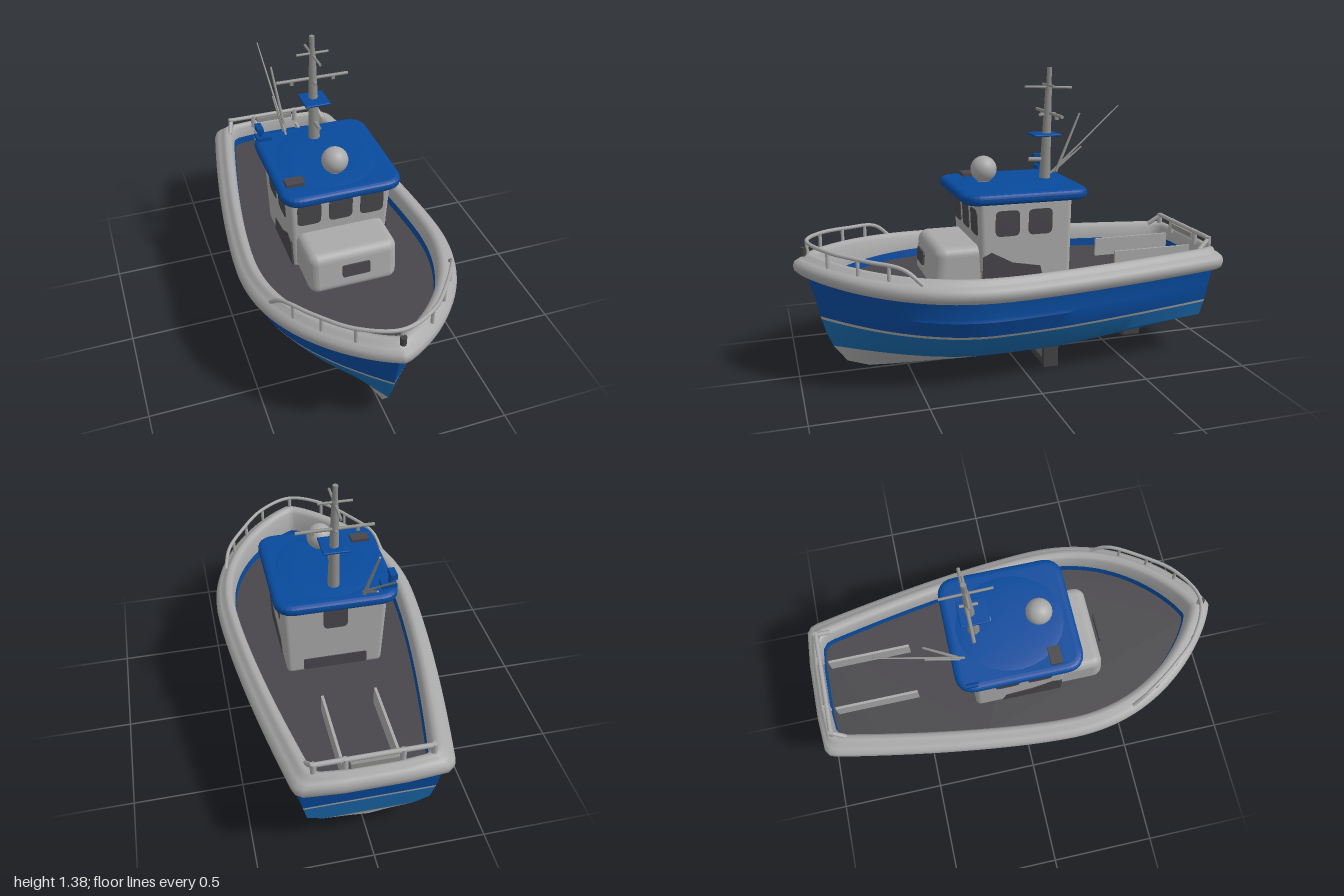
import * as THREE from 'three';
import { toCreasedNormals } from 'three/addons/utils/BufferGeometryUtils.js';
import { RoundedBoxGeometry } from 'three/addons/geometries/RoundedBoxGeometry.js';

const mat = (name, color) => new THREE.MeshStandardMaterial({ name, color, side: THREE.DoubleSide });
const M = {
  grey: mat('light grey paint', 0xa9a9a9),
  navy: mat('deep blue paint', 0x084a9c),
  blue: mat('lower blue paint', 0x1a68aa),
  dark: mat('dark deck and glass', 0x48464a),
  metal: mat('metal grey', 0x8e8e8c),
  frame: mat('underwater dark grey', 0x424244),
};

const V = (x, y, z) => new THREE.Vector3(x, y, z);

function add(parent, name, geo, m, x = 0, y = 0, z = 0) {
  const mesh = new THREE.Mesh(geo, m);
  mesh.name = name;
  mesh.position.set(x, y, z);
  parent.add(mesh);
  return mesh;
}
const box = (g, name, m, w, h, d, x, y, z) => add(g, name, new THREE.BoxGeometry(w, h, d), m, x, y, z);

// Straight round bar between two points
function bar(g, name, m, a, b, r0, r1 = r0) {
  const dir = b.clone().sub(a);
  const mesh = add(g, name, new THREE.CylinderGeometry(r1, r0, dir.length(), 10), m);
  mesh.position.copy(a).addScaledVector(dir, 0.5);
  mesh.quaternion.setFromUnitVectors(V(0, 1, 0), dir.normalize());
  return mesh;
}

// Skin over equal-length rows of points, closed around the loop
function loft(rows, crease = 0.6) {
  const pos = [], idx = [], n = rows[0].length;
  rows.forEach(r => r.forEach(p => pos.push(p.x, p.y, p.z)));
  for (let j = 0; j < rows.length - 1; j++) {
    for (let i = 0; i < n; i++) {
      const k = (i + 1) % n, a = j * n + i, b = j * n + k, c = b + n, d = a + n;
      idx.push(a, b, c, a, c, d);
    }
  }
  const geo = new THREE.BufferGeometry();
  geo.setAttribute('position', new THREE.Float32BufferAttribute(pos, 3));
  geo.setIndex(idx);
  return toCreasedNormals(geo, crease);
}
const mirrorLoop = half => half.concat(half.slice().reverse().map(p => V(-p.x, p.y, p.z)));

// Hull row: [y mid, x mid, y stern, x stern, z stern, y bow, z bow, fullness power, exponent]
const HULL = [
  [0.00, 0.012, 0.135, 0.01, -0.88, 0.015, 0.68, 3, 1],
  [0.04, 0.110, 0.145, 0.09, -0.88, 0.050, 0.78, 1.8, 1.1],
  [0.10, 0.250, 0.160, 0.20, -0.885, 0.130, 0.84, 1.7, 1.1],
  [0.17, 0.360, 0.190, 0.27, -0.89, 0.200, 0.87, 1.8, 1.05],
  [0.245, 0.408, 0.260, 0.287, -0.90, 0.265, 0.887, 1.9, 1],
  [0.257, 0.415, 0.272, 0.29, -0.902, 0.280, 0.892, 1.9, 1],
  [0.33, 0.445, 0.335, 0.30, -0.91, 0.360, 0.91, 2, 0.95],
  [0.345, 0.440, 0.35, 0.30, -0.912, 0.375, 0.914, 2, 0.95],
  [0.45, 0.458, 0.45, 0.31, -0.93, 0.530, 0.955, 2.2, 0.8],
];
function hullRow([ym, xm, ys, xs, zs, yb, zb, p, e]) {
  const half = [], N = 40;
  for (let i = 0; i <= N; i++) {
    const t = Math.cos(i / N * Math.PI / 2) * 0.4 + (1 - i / N) * 0.6;
    const z = zs + (zb - zs) * t;
    const u = Math.max(0, (z - 0.2) / (zb - 0.2)), a = Math.max(0, (0.2 - z) / (0.2 - zs));
    const x = z > 0.2 ? xm * Math.pow(Math.max(0, 1 - u ** p), e) : xm + (xs - xm) * a ** 1.5;
    const y = ym + (ys - ym) * Math.max(0, 1 - t / 0.42) ** 1.1 + (yb - ym) * Math.max(0, t * 2 - 1) ** 2;
    half.push(V(x, y, z));
  }
  return mirrorLoop(half);
}

// Plan outline of the gunwale, moved inward by inset
const sheer = z => 0.465 + 0.065 * Math.max(0, z) ** 2;
function outline(inset, dy, flatY) {
  const half = [], A = 0.5 - inset, L = 0.8 - 1.2 * inset, ws = 0.345 - inset, zs = -0.985 + 0.7 * inset;
  const put = (x, z) => half.push(V(x, flatY ?? sheer(z) + dy, z));
  for (let i = 0; i <= 28; i++) {
    const u = Math.cos(i / 28 * Math.PI / 2);
    put(A * Math.pow(Math.max(0, 1 - u ** 2.2), 0.8), 0.2 + L * u);
  }
  for (let i = 1; i <= 16; i++) {
    const a = i / 16;
    put(A + (ws - A) * a ** 1.5, 0.2 + (zs + 0.05 - 0.2) * a);
  }
  put(ws - 0.012, zs + 0.02);
  put(ws - 0.04, zs);
  put(ws * 0.4, zs - 0.012);
  return mirrorLoop(half);
}

function roundedRect(w, h, r) {
  const s = new THREE.Shape(), x = w / 2, y = h / 2;
  s.moveTo(-x + r, -y).lineTo(x - r, -y).quadraticCurveTo(x, -y, x, -y + r);
  s.lineTo(x, y - r).quadraticCurveTo(x, y, x - r, y).lineTo(-x + r, y);
  s.quadraticCurveTo(-x, y, -x, y - r).lineTo(-x, -y + r).quadraticCurveTo(-x, -y, -x + r, -y);
  return s;
}
const plate = s => new THREE.ExtrudeGeometry(s, { depth: 0.008, bevelEnabled: false, curveSegments: 5 });

export function createModel() {
  const g = new THREE.Group();
  g.name = 'workboat';

  // Hull in painted bands, transom included
  const rows = HULL.map(hullRow);
  const band = (name, a, b, m) => add(g, name, loft(rows.slice(a, b + 1)), m);
  band('hullBottom', 0, 2, M.grey);
  band('hullLowerSide', 2, 4, M.blue);
  band('waterlineStripe', 4, 5, M.grey);
  band('hullUpperSide', 5, 8, M.navy);

  // Gunwale with rounded fender, cap and inner bulwark
  const rim = [[0.07, -0.03], [0.02, -0.038], [0.004, -0.022], [0, 0], [0.006, 0.02], [0.024, 0.034],
    [0.038, 0.04], [0.045, 0.054], [0.06, 0.06], [0.078, 0.056], [0.088, 0.04]];
  add(g, 'gunwale', loft([...rim.map(([i, dy]) => outline(i, dy)), outline(0.094, 0, 0.45)], 0.9), M.grey);
  add(g, 'bulwarkLining', loft([outline(0.094, 0, 0.45), outline(0.098, 0, 0.41)]), M.navy);
  const deck = new THREE.Shape(outline(0.097, 0, 0).map(p => new THREE.Vector2(p.x, -p.z)));
  add(g, 'deck', new THREE.ShapeGeometry(deck).rotateX(-Math.PI / 2), M.dark, 0, 0.412, 0);

  // Wheelhouse, narrowing toward the deck
  const house = new THREE.Group();
  house.name = 'wheelhouse';
  g.add(house);
  const walls = new RoundedBoxGeometry(0.49, 0.42, 0.44, 3, 0.025);
  const wp = walls.attributes.position;
  for (let i = 0; i < wp.count; i++) {
    const k = (0.21 - wp.getY(i)) / 0.42;
    wp.setX(i, wp.getX(i) * (1 - 0.08 * k));
    if (wp.getZ(i) > 0) wp.setZ(i, wp.getZ(i) - 0.015 * k);
  }
  add(house, 'walls', walls, M.grey, 0, 0.61, -0.01);
  const pane = () => plate(roundedRect(0.112, 0.118, 0.025));
  for (const x of [-0.15, 0, 0.15]) {
    add(house, 'frontWindow', pane(), M.dark, x, 0.71, 0.201).rotation.x = 0.036;
  }
  add(house, 'rearWindow', pane(), M.dark, 0, 0.71, -0.235);
  add(house, 'rearLowerPanel', plate(roundedRect(0.3, 0.06, 0.01)), M.dark, 0, 0.45, -0.235);
  const patch = new THREE.Shape([[-0.19, 0.42], [0.1, 0.42], [0.08, 0.5], [-0.05, 0.525], [-0.15, 0.58], [-0.19, 0.56]]
    .map(([x, y]) => new THREE.Vector2(x, y - 0.5)));
  for (const s of [1, -1]) {
    for (const z of [0.077, -0.077]) {
      const holder = new THREE.Group();
      holder.name = 'sideWindow';
      holder.position.set(s * 0.235, 0.71, z);
      holder.rotation.z = -s * 0.047;
      add(holder, 'pane', pane(), M.dark).rotation.y = s * Math.PI / 2;
      house.add(holder);
    }
    const low = new THREE.Group();
    low.name = 'sideLowerPanel';
    low.position.set(s * 0.226, 0.5, 0);
    low.rotation.z = -s * 0.047;
    const geo = plate(patch).rotateY(Math.PI / 2);
    add(low, 'panel', geo, M.dark, s > 0 ? 0 : -0.008);
    house.add(low);
  }

  // Low trunk in front of the wheelhouse
  const trunk = new RoundedBoxGeometry(0.42, 0.2, 0.3, 4, 0.04);
  const tp = trunk.attributes.position;
  for (let i = 0; i < tp.count; i++) {
    if (tp.getZ(i) > 0) tp.setZ(i, tp.getZ(i) - 0.7 * tp.getX(i) ** 2 - 0.1 * (tp.getY(i) + 0.1));
  }
  trunk.computeVertexNormals();
  add(g, 'trunk', trunk, M.grey, 0, 0.505, 0.285);
  add(g, 'trunkHatch', plate(roundedRect(0.13, 0.06, 0.01)), M.dark, 0, 0.525, 0.42).rotation.x = -0.1;

  // Roof with rounded edges and a gentle crown
  const roof = new THREE.ExtrudeGeometry(roundedRect(0.5, 0.53, 0.06),
    { depth: 0.012, bevelSize: 0.03, bevelThickness: 0.02, bevelSegments: 4, curveSegments: 6 });
  roof.rotateX(-Math.PI / 2);
  add(g, 'roof', roof, M.navy, 0, 0.82, -0.015);
  const crown = new THREE.SphereGeometry(1, 24, 8, 0, Math.PI * 2, 0, Math.PI / 2);
  add(g, 'roofCrown', crown, M.navy, 0, 0.848, -0.015).scale.set(0.24, 0.014, 0.26);

  // Radar dome
  add(g, 'domeFoot', new THREE.CylinderGeometry(0.025, 0.03, 0.03, 16), M.grey, 0, 0.865, 0.12);
  add(g, 'radarDome', new THREE.SphereGeometry(0.061, 24, 16), M.grey, 0, 0.916, 0.12);

  // Mast with platform and spreaders
  const mast = new THREE.Group();
  mast.name = 'mast';
  g.add(mast);
  bar(mast, 'pole', M.metal, V(0, 0.84, -0.18), V(0, 1.3, -0.197), 0.028, 0.015);
  bar(mast, 'poleTop', M.metal, V(0, 1.29, -0.197), V(0, 1.375, -0.2), 0.012);
  add(mast, 'platform', new RoundedBoxGeometry(0.12, 0.01, 0.13, 2, 0.004), M.navy, 0, 1.065, -0.175);
  bar(mast, 'mainSpreader', M.metal, V(-0.172, 1.165, -0.2), V(0.172, 1.163, -0.2), 0.008);
  bar(mast, 'upperSpreader', M.metal, V(-0.075, 1.292, -0.195), V(0.075, 1.292, -0.195), 0.006);
  bar(mast, 'foreAftSpreader', M.metal, V(0, 1.288, -0.08), V(0, 1.278, -0.31), 0.006);
  bar(mast, 'lampArm', M.metal, V(0, 1.155, -0.15), V(0, 1.16, -0.23), 0.007);
  bar(mast, 'lowerArm', M.metal, V(0, 0.95, -0.1), V(0, 0.945, -0.18), 0.01);
  for (const x of [-0.1, 0.1]) box(mast, 'lamp', M.metal, 0.015, 0.018, 0.015, x, 1.153, -0.2);

  // Whip aerials leaning aft
  bar(g, 'longAerial', M.metal, V(-0.12, 0.85, -0.25), V(-0.15, 1.17, -0.62), 0.006, 0.003);
  bar(g, 'middleAerial', M.metal, V(-0.115, 0.86, -0.28), V(-0.14, 1.14, -0.41), 0.008, 0.005);
  bar(g, 'shortAerial', M.metal, V(-0.125, 0.86, -0.27), V(-0.135, 0.975, -0.42), 0.007, 0.004);

  // Roof fittings
  bar(g, 'hornPost', M.navy, V(-0.245, 0.84, -0.24), V(-0.245, 0.92, -0.24), 0.011);
  box(g, 'hornHead', M.navy, 0.03, 0.025, 0.06, -0.253, 0.918, -0.24);
  box(g, 'hornBase', M.navy, 0.07, 0.02, 0.05, -0.235, 0.868, -0.24);
  box(g, 'roofHatch', M.dark, 0.085, 0.02, 0.055, -0.2, 0.858, 0.15);

  // Bow rail and stanchions
  const side = [V(0.42, 0.52, 0.5), V(0.39, 0.585, 0.575), V(0.295, 0.608, 0.72), V(0.17, 0.625, 0.86)];
  const path = new THREE.CatmullRomCurve3([...side, V(0, 0.635, 0.935), ...side.slice().reverse().map(p => V(-p.x, p.y, p.z))]);
  add(g, 'bowRail', new THREE.TubeGeometry(path, 60, 0.009, 8), M.grey);
  for (const t of [0.13, 0.24, 0.36, 0.5, 0.64, 0.76, 0.87]) {
    const p = path.getPointAt(t);
    bar(g, 'stanchion', M.grey, V(p.x, sheer(p.z) + 0.04, p.z), p, 0.008);
  }
  bar(g, 'bowRoller', M.frame, V(0, 0.57, 0.95), V(0, 0.61, 0.95), 0.014);

  // Stern gantry rail and cleats
  bar(g, 'sternRail', M.grey, V(-0.25, 0.565, -0.93), V(0.25, 0.565, -0.93), 0.011);
  for (const x of [-0.25, -0.12, 0.12, 0.25]) {
    bar(g, 'sternPost', M.grey, V(x, 0.5, -0.93), V(x, 0.572, -0.93), 0.013);
  }
  box(g, 'sternRoller', M.metal, 0.2, 0.025, 0.03, 0, 0.54, -0.935);
  for (const s of [1, -1]) {
    bar(g, 'sternBrace', M.grey, V(s * 0.25, 0.56, -0.93), V(s * 0.27, 0.515, -0.87), 0.011);
    // Low partitions dividing the aft deck
    box(g, 'deckPartition', M.grey, 0.012, 0.09, 0.4, s * 0.12, 0.455, -0.7);
  }

  // Support beam and rudder below the hull
  box(g, 'underBeam', M.frame, 0.48, 0.032, 0.05, 0, 0.018, -0.13);
  for (const s of [1, -1]) box(g, 'beamPost', M.frame, 0.028, 0.1, 0.07, s * 0.228, 0.052, -0.135);
  add(g, 'rudder', new RoundedBoxGeometry(0.07, 0.085, 0.1, 2, 0.012), M.frame, 0, 0.06, -0.645);

  return g;
}
